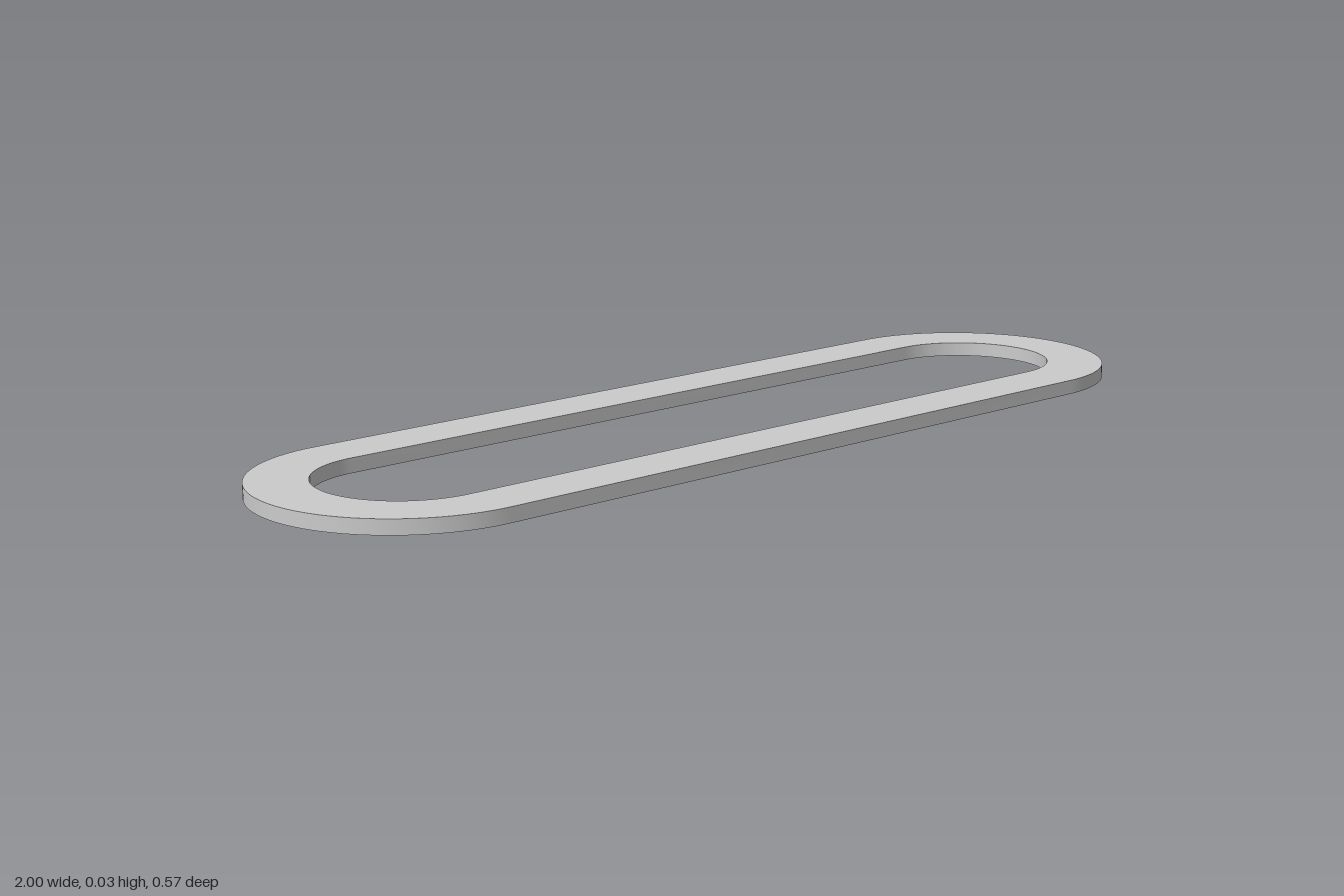
import * as THREE from 'three';
import { toCreasedNormals } from 'three/addons/utils/BufferGeometryUtils.js';

const HALF_SPAN = 0.717; // centre of each rounded end
const OUTER_RADIUS = 0.283;
const INNER_RADIUS = 0.17;
const THICKNESS = 0.028;

// Stadium outline: two half circles joined by straight sides
function stadium(path, radius) {
  path.absarc(HALF_SPAN, 0, radius, -Math.PI / 2, Math.PI / 2, false);
  path.absarc(-HALF_SPAN, 0, radius, Math.PI / 2, Math.PI * 1.5, false);
  path.closePath();
  return path;
}

export function createModel() {
  const group = new THREE.Group();
  group.name = 'oblongLink';

  // Flat plate with a matching slot, laid down on the ground
  const outline = stadium(new THREE.Shape(), OUTER_RADIUS);
  outline.holes.push(stadium(new THREE.Path(), INNER_RADIUS));
  const plate = new THREE.ExtrudeGeometry(outline, {
    depth: THICKNESS,
    bevelEnabled: false,
    curveSegments: 32,
  });
  plate.rotateX(-Math.PI / 2);

  const link = new THREE.Mesh(
    toCreasedNormals(plate, Math.PI / 6),
    new THREE.MeshStandardMaterial({ color: 0xcccccc })
  );
  link.name = 'slottedPlate';
  group.add(link);
  return group;
}
